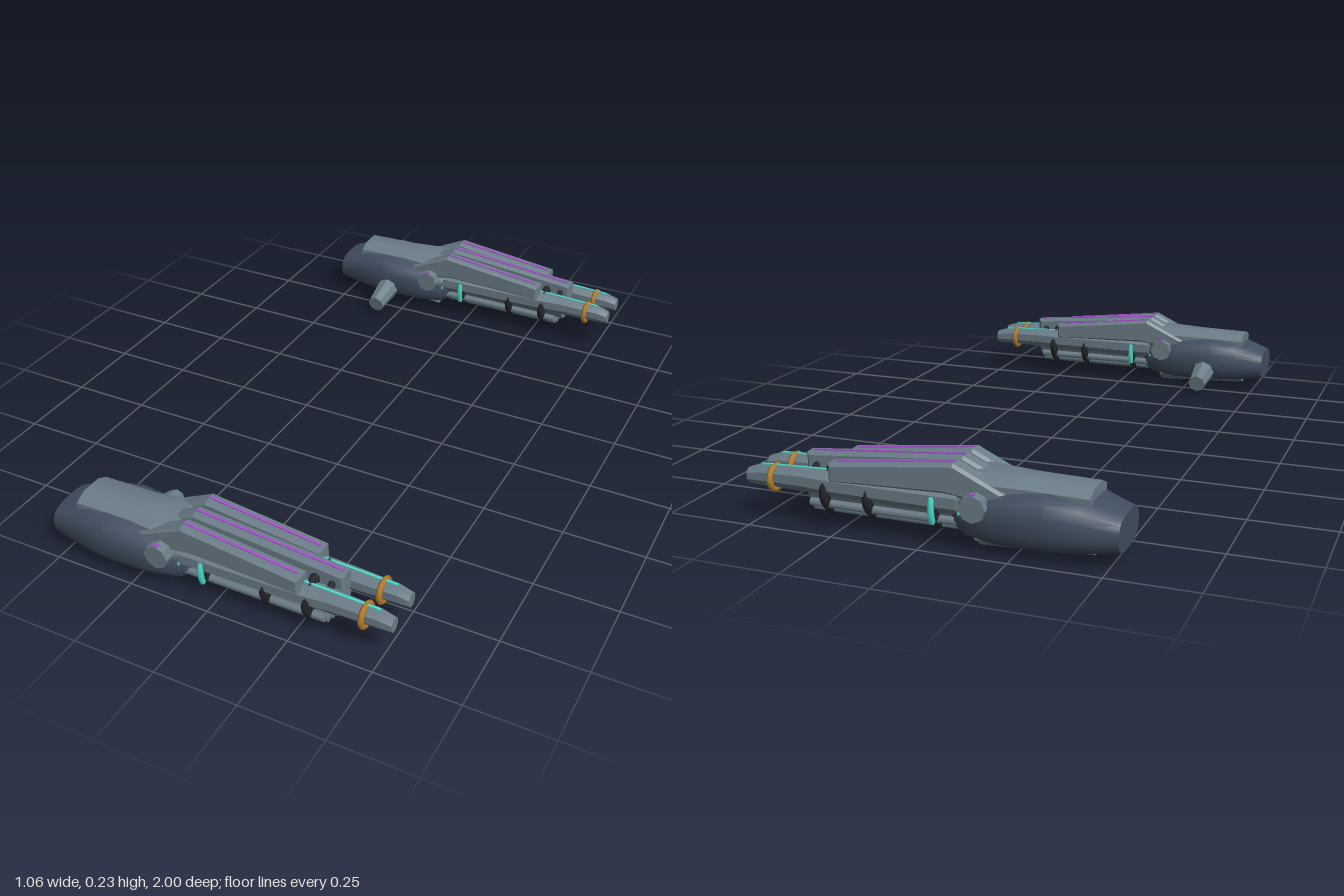
import * as THREE from 'three';
import { toCreasedNormals } from 'three/addons/utils/BufferGeometryUtils.js';

const mat = (name, color) => {
  const m = new THREE.MeshStandardMaterial({ color });
  m.name = name;
  return m;
};

// Closed hull along x; each section is [x, centreY, halfHeight, halfWidth]
function loft(sections, n, power = 2, crease = 0.5) {
  const pos = [], idx = [];
  const bend = v => Math.sign(v) * Math.pow(Math.abs(v), 2 / power);
  const grow = 1 / bend(Math.cos(Math.PI / n));
  for (const [x, y, h, w] of sections) {
    for (let i = 0; i < n; i++) {
      const a = (i + 0.5) / n * Math.PI * 2;
      pos.push(x, y + bend(Math.cos(a)) * h * grow, bend(Math.sin(a)) * w * grow);
    }
  }
  for (let s = 0; s < sections.length - 1; s++) {
    for (let i = 0; i < n; i++) {
      const j = (i + 1) % n, a = s * n + i, b = s * n + j;
      idx.push(a, b, a + n, b, b + n, a + n);
    }
  }
  const last = (sections.length - 1) * n;
  for (let i = 1; i < n - 1; i++) {
    idx.push(0, i + 1, i, last, last + i, last + i + 1);
  }
  const g = new THREE.BufferGeometry();
  g.setAttribute('position', new THREE.Float32BufferAttribute(pos, 3));
  g.setIndex(idx);
  return toCreasedNormals(g, crease);
}

// Side profile in x/y, extruded symmetrically in z with chamfered edges
function slab(points, width, bevel) {
  const g = new THREE.ExtrudeGeometry(new THREE.Shape(points.map(p => new THREE.Vector2(...p))), {
    depth: width - 2 * bevel, bevelThickness: bevel, bevelSize: bevel,
    bevelOffset: -bevel, bevelSegments: 1,
  });
  return g.translate(0, 0, -width / 2 + bevel);
}

// Rod along x
function rod(x0, x1, r, sides) {
  return new THREE.CylinderGeometry(r, r, x1 - x0, sides).rotateZ(-Math.PI / 2).translate((x0 + x1) / 2, 0, 0);
}

// Ring, or upper arc of one, around the x axis
function ring(radius, tube, arc = Math.PI * 2) {
  return new THREE.TorusGeometry(radius, tube, 6, 20, arc).rotateY(Math.PI / 2);
}

// Thin strip lying on a sloping top edge
function strip(x0, y0, x1, y1, width) {
  return new THREE.BoxGeometry(Math.hypot(x1 - x0, y1 - y0), 0.006, width)
    .rotateZ(Math.atan2(y1 - y0, x1 - x0)).translate((x0 + x1) / 2, (y0 + y1) / 2, 0);
}

export function createModel() {
  const grey = mat('grey armour', 0x6b7d88);
  const navy = mat('dark blue hull', 0x414e61);
  const black = mat('black clamps', 0x24262c);
  const purple = mat('purple glow', 0xa84fd0);
  const teal = mat('teal glow', 0x4adcca);
  const amber = mat('amber rings', 0xb47d2a);

  // inner is the z direction that points to the middle of the model
  function cannon(inner) {
    const gun = new THREE.Group();
    const add = (name, g, m, x = 0, y = 0, z = 0) => {
      const mesh = new THREE.Mesh(g, m);
      mesh.name = name;
      mesh.position.set(x, y, z);
      gun.add(mesh);
      return mesh;
    };

    // Rear housing
    add('housing', loft([
      [-0.53, 0.087, 0.048, 0.085], [-0.43, 0.098, 0.073, 0.107], [-0.34, 0.102, 0.083, 0.119],
      [-0.2, 0.094, 0.076, 0.11], [-0.12, 0.09, 0.063, 0.093], [-0.087, 0.09, 0.047, 0.074],
      [-0.075, 0.09, 0.03, 0.05],
    ], 16, 2.9, 0.6), navy);
    add('topPlate', loft([
      [-0.45, 0.16, 0.035, 0.068], [-0.28, 0.163, 0.036, 0.068], [-0.14, 0.165, 0.04, 0.085],
      [-0.09, 0.16, 0.035, 0.08],
    ], 8, 2.4), grey);
    add('keel', loft([[-0.45, 0.05, 0.037, 0.055], [-0.14, 0.05, 0.05, 0.07]], 8), grey);

    // Mounting stub
    const stub = add('mountStub', toCreasedNormals(new THREE.CylinderGeometry(0.03, 0.043, 0.14, 8), 0.5), grey,
      -0.32, 0.056, inner * 0.146);
    stub.rotation.x = inner * (Math.PI / 2 + 0.2);

    // Side pivots with small lights
    for (const s of [-1, 1]) {
      const disc = new THREE.CylinderGeometry(0.037, 0.037, 0.04, 8).rotateX(Math.PI / 2);
      add('sidePivot', toCreasedNormals(disc, 0.5), grey, -0.155, 0.13, s * 0.1);
      add('pivotLight', new THREE.BoxGeometry(0.012, 0.005, 0.014), purple, -0.155, 0.167, s * 0.111);
      add('housingLight', new THREE.BoxGeometry(0.005, 0.009, 0.009), teal, -0.105, 0.102, s * 0.084);
    }

    // Three top fins with glowing seams; the outer pair is shorter and steeper
    for (const k of [-1, 0, 1]) {
      const end = k ? 0.27 : 0.37;
      const endY = k ? 0.19 : 0.191;
      const seamY = endY + 0.015 * (0.232 - endY) / (end + 0.09);
      add('topFin', slab([
        [-0.23, 0.165], [-0.09, 0.232], [end, endY], [end, 0.136], [-0.06, 0.148], [-0.2, 0.13],
      ], k ? 0.052 : 0.048, 0.008), grey, 0, 0, k * 0.062);
      add('finLight', strip(-0.09, 0.232, end - 0.015, seamY, 0.007), purple, 0, 0, k * 0.062);
    }
    // Shoulder block joining the fins
    add('finBase', slab([[-0.16, 0.14], [-0.07, 0.195], [0.26, 0.17], [0.26, 0.137], [-0.06, 0.14]], 0.15, 0.01), grey);

    // Twin barrels
    for (const s of [-1, 1]) {
      const z = s * 0.052;
      add('barrel', loft([
        [-0.1, 0.126, 0.036, 0.04], [0.26, 0.126, 0.034, 0.034], [0.36, 0.127, 0.032, 0.026],
        [0.49, 0.124, 0.028, 0.022], [0.53, 0.119, 0.021, 0.019],
      ], 8), grey, 0, 0, z);
      add('barrelLight', strip(0.27, 0.161, 0.49, 0.153, 0.007), teal, 0, 0, z);
      add('barrelRing', ring(0.032, 0.009), amber, 0.449, 0.12, z);
    }

    // Core and the cluster of pipes slung beneath it
    add('core', toCreasedNormals(rod(-0.1, 0.355, 0.052, 8), 0.5), grey, 0, 0.1, 0);
    for (const [y, z] of [[0.07, 0.064], [0.052, 0.042], [0.043, 0.015]]) {
      for (const s of [-1, 1]) {
        add('lowerPipe', rod(-0.12, 0.335, 0.012, 8), grey, 0, y, s * z);
      }
    }

    // Clamps around the core and pipes; the rearmost is tucked in behind the housing
    for (const [x, width] of [[-0.09, 0.95], [-0.03, 1.2], [0.16, 1.22], [0.287, 1.22]]) {
      add('clamp', ring(0.063, 0.014).scale(1, 1, width), black, x, 0.102, 0);
    }
    add('frontClamp', ring(0.055, 0.01, Math.PI), black, 0.337, 0.11, 0);

    // Teal bands on both flanks
    for (const s of [-1, 1]) {
      const band = new THREE.TorusGeometry(0.092, 0.009, 6, 10, 0.78)
        .rotateZ(-0.39).rotateY(-s * Math.PI / 2);
      add('tealBand', band, teal, -0.03, 0.101, 0);
    }
    return gun;
  }

  const model = new THREE.Group();
  model.name = 'twinCannons';
  for (const side of [1, -1]) {
    const gun = cannon(-side);
    gun.name = side > 0 ? 'frontCannon' : 'rearCannon';
    gun.position.z = side * 0.88;
    model.add(gun);
  }
  return model;
}
